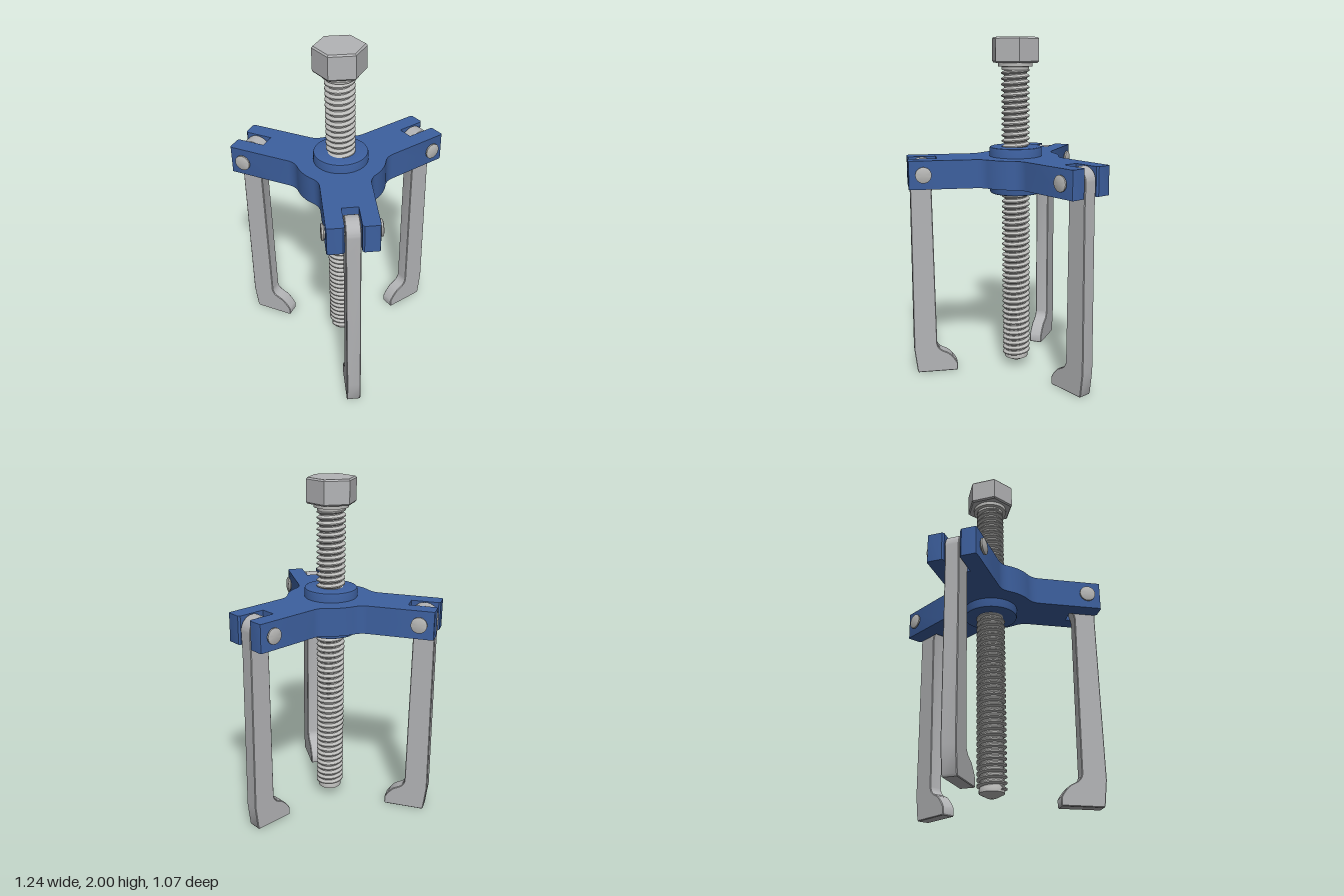
import * as THREE from 'three';
import { toCreasedNormals } from 'three/addons/utils/BufferGeometryUtils.js';

const material = (name, color) => {
  const m = new THREE.MeshStandardMaterial({ color });
  m.name = name;
  return m;
};
const V = (x, y) => new THREE.Vector2(x, y);
const polar = (cx, cy, r, a) => V(cx + r * Math.cos(a), cy + r * Math.sin(a));
const TURN = Math.PI * 2 / 3;

// Lathe from [radius, height] pairs, listed bottom to top
function lathe(points, segments, crease = 0.5) {
  return toCreasedNormals(new THREE.LatheGeometry(points.map(p => V(...p)), segments), crease);
}

// Three-armed yoke outline with forked arm ends and filleted hub
function yokeGeometry() {
  const hubR = 0.255, half = 0.14, fillet = 0.1, end = 0.637, slot = 0.045, c = 0.01;
  const fx = half + fillet;
  const fy = Math.sqrt((hubR + fillet) ** 2 - fx ** 2);
  const tangent = Math.atan2(fy, fx);
  const right = [];
  for (let i = 0; i <= 8; i++) {
    right.push(polar(fx, fy, fillet, Math.PI + tangent * (1 - i / 8)));
  }
  right.push(V(half, end - c), V(half - 0.003, end - 0.003), V(half - c, end),
    V(slot + c, end), V(slot, end - c), V(slot, 0.47));
  const arm = [...right, ...right.map(p => V(-p.x, p.y)).reverse()];
  const outline = [];
  for (let k = 0; k < 3; k++) {
    arm.forEach(p => outline.push(p.clone().rotateAround(V(0, 0), k * TURN)));
    const from = Math.PI - tangent, to = tangent + TURN;
    for (let i = 1; i < 8; i++) {
      outline.push(polar(0, 0, hubR, from + (to - from) * i / 8 + k * TURN));
    }
  }
  const g = new THREE.ExtrudeGeometry(new THREE.Shape(outline), { depth: 0.165, bevelEnabled: false });
  g.rotateX(-Math.PI / 2).translate(0, 1.15, 0);
  return toCreasedNormals(g, 0.5);
}

// Hooked leg: side profile (distance from the screw, height) extruded across its width
function legGeometry() {
  const s = new THREE.Shape();
  s.moveTo(0.375, 0);
  s.lineTo(0.608, 0);
  s.lineTo(0.615, 0.012);
  s.lineTo(0.632, 0.15);
  s.lineTo(0.627, 1.1);
  s.lineTo(0.631, 1.235);
  s.absarc(0.553, 1.235, 0.078, 0, Math.PI, false);
  s.lineTo(0.503, 1.12);
  s.lineTo(0.493, 0.18);
  s.quadraticCurveTo(0.488, 0.145, 0.455, 0.13);
  s.lineTo(0.425, 0.115);
  s.quadraticCurveTo(0.39, 0.085, 0.37, 0.045);
  s.lineTo(0.37, 0.008);
  s.closePath();
  const b = 0.004;
  const g = new THREE.ExtrudeGeometry(s, {
    depth: 0.08 - 2 * b, bevelSize: b, bevelOffset: -b, bevelThickness: b, bevelSegments: 1, curveSegments: 16,
  });
  g.translate(0, 0, -0.04 + b).rotateY(Math.PI / 2);
  return toCreasedNormals(g, 0.5);
}

// Helical thread: ridged lathe whose rows climb one pitch per turn
function threadGeometry(y0, turns, pitch) {
  const rows = [];
  for (let i = 0; i < turns; i++) {
    [[0.066, 0], [0.067, 0.2], [0.083, 0.45], [0.083, 0.65]].forEach(([r, t]) => rows.push(V(r, y0 + (i + t) * pitch)));
  }
  rows.push(V(0.066, y0 + turns * pitch));
  const g = new THREE.LatheGeometry(rows, 36);
  const pos = g.attributes.position, uv = g.attributes.uv;
  for (let i = 0; i < pos.count; i++) pos.setY(i, pos.getY(i) + pitch * uv.getX(i));
  return toCreasedNormals(g, 0.5);
}

export function createModel() {
  const blue = material('blue paint', 0x3d609f);
  const steel = material('leg steel', 0xb3b4b6);
  const bright = material('bright steel', 0xbabab8);
  const model = new THREE.Group();
  model.name = 'threeLegPuller';
  model.position.z = 0.1;
  const add = (parent, name, geometry, mat) => {
    const mesh = new THREE.Mesh(geometry, mat);
    mesh.name = name;
    parent.add(mesh);
    return mesh;
  };

  // Yoke and threaded collar
  add(model, 'yoke', yokeGeometry(), blue);
  add(model, 'collar', lathe([[0.07, 1.095], [0.145, 1.095], [0.152, 1.098], [0.155, 1.107],
    [0.155, 1.358], [0.152, 1.367], [0.145, 1.37], [0.07, 1.37]], 48, 0.7), blue);

  // Screw: thread, tip, neck and hexagonal head
  const screw = new THREE.Group();
  screw.name = 'screw';
  model.add(screw);
  add(screw, 'thread', threadGeometry(0.058, 53, 0.033), bright);
  add(screw, 'tip', lathe([[0, 0.03], [0.025, 0.033], [0.07, 0.056], [0.07, 0.075], [0.06, 0.1]], 36), bright);
  add(screw, 'neck', lathe([[0.06, 1.81], [0.08, 1.815], [0.08, 1.832], [0.1, 1.834], [0.1, 1.86]], 36), bright);
  const hex = new THREE.LatheGeometry(
    [[0, 1.855], [0.137, 1.855], [0.145, 1.864], [0.145, 1.991], [0.137, 2], [0, 2]].map(p => V(...p)), 6);
  hex.rotateY(Math.PI / 6);
  add(screw, 'hexHead', toCreasedNormals(hex, 0.1), steel);

  // Three hinged legs with their pins
  const leg = legGeometry();
  const pin = lathe([[0, -0.161], [0.036, -0.161], [0.046, -0.157], [0.046, -0.148], [0.036, -0.143], [0.03, -0.138],
    [0.03, 0.138], [0.036, 0.143], [0.046, 0.148], [0.046, 0.157], [0.036, 0.161], [0, 0.161]], 24);
  pin.rotateZ(-Math.PI / 2).translate(0, 1.235, -0.553);
  ['backLeg', 'rightLeg', 'leftLeg'].forEach((name, k) => {
    const g = new THREE.Group();
    g.name = name;
    g.rotation.y = k * TURN;
    add(g, 'hookedLeg', leg, steel);
    add(g, 'hingePin', pin, bright);
    model.add(g);
  });

  const root = new THREE.Group();
  root.name = 'puller';
  root.add(model);
  return root;
}
